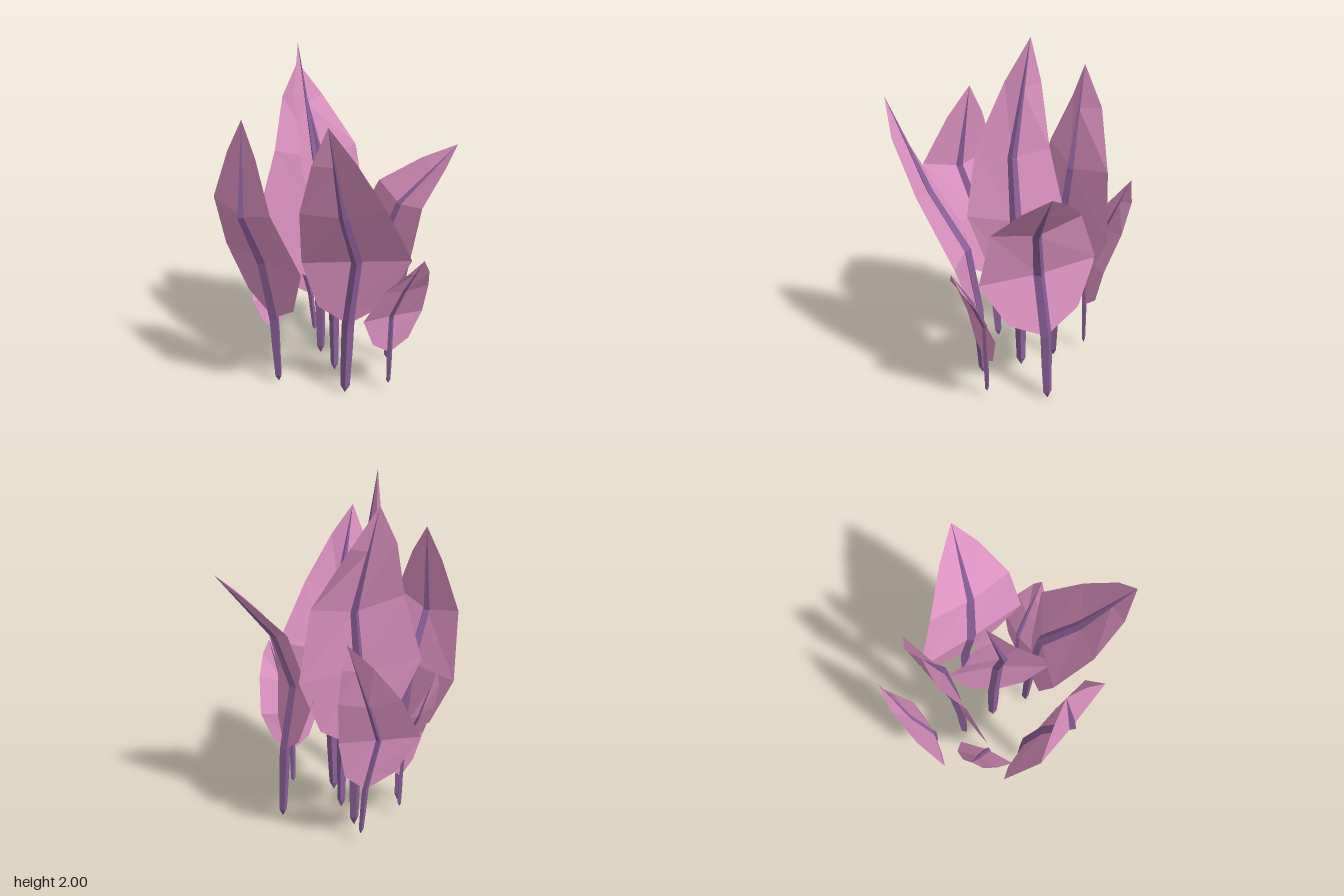
import * as THREE from 'three';

const leafMat = new THREE.MeshStandardMaterial({ color: 0xdc92c2, flatShading: true, side: THREE.DoubleSide });
const stemMat = new THREE.MeshStandardMaterial({ color: 0x8a5f98, flatShading: true, side: THREE.DoubleSide });
const UP = new THREE.Vector3(0, 1, 0);

// Join rows of equal length into a faceted surface, skipping collapsed triangles.
function loft(rows, closed) {
  const pos = [];
  const put = (a, b, c) => {
    if (new THREE.Triangle(a, b, c).getArea() > 1e-8) {
      for (const p of [a, b, c]) pos.push(p.x, p.y, p.z);
    }
  };
  for (let i = 0; i < rows.length - 1; i++) {
    const a = rows[i], b = rows[i + 1], n = a.length;
    for (let j = 0; j < (closed ? n : n - 1); j++) {
      const k = (j + 1) % n;
      put(a[j], a[k], b[k]);
      put(a[j], b[k], b[j]);
    }
  }
  const g = new THREE.BufferGeometry();
  g.setAttribute('position', new THREE.Float32BufferAttribute(pos, 3));
  g.computeVertexNormals();
  return g;
}

// foot, wide and shoulder are [x, z] along the midrib, tip is [x, y, z], side is
// the half-width vector; length sets the row heights, cup folds the edges outward.
function makeLeaf(name, foot2, wide2, shoulder2, tip3, side3, { length = tip3[1], cup = 1 } = {}) {
  const at = ([x, z], y) => new THREE.Vector3(x, y, z);
  const mix = (a, b, t) => a.clone().lerp(b, t);
  const tall = tip3[1] > 1.3;
  const radius = tall ? 0.036 : 0.018;
  const foot = at(foot2, tall ? 0.005 : 0.06);
  const wide = at(wide2, length * 0.51);
  const base = mix(foot, wide, 0.25).setY(length * 0.27);
  const shoulder = at(shoulder2, length * 0.695);
  const tip = new THREE.Vector3(...tip3);
  const half = new THREE.Vector3(...side3);
  const size = half.length();
  const outward = new THREE.Vector3().crossVectors(half, UP).multiplyScalar(cup);

  // Blade: left edge, midrib and right edge on each row
  const widths = [0, 0.61, 1, 0.74, 0.36, 0];
  const lifts = [0, 0.03, 0.05, 0.17, 0.1, 0];
  const folds = [0, 0.05, 0.12, 0.14, 0.16, 0];
  const spine = [base, mix(base, wide, 0.3), wide, shoulder, mix(shoulder, tip, 0.58), tip];
  const blade = spine.map((p, i) => [-1, 0, 1].map(s => {
    const q = p.clone().addScaledVector(half, s * widths[i]);
    q.addScaledVector(outward, Math.abs(s) * folds[i]);
    q.y += Math.abs(s) * lifts[i] * size;
    return q;
  }));

  // Stem and rib: a four-sided bar pointed at both ends
  const path = [foot, mix(foot, base, 0.1), mix(foot, base, 0.6), base, wide, shoulder, tip];
  const thickness = [0, 0.75, 0.95, 1, 0.95, 0.75, 0];
  const across = half.clone().normalize();
  const bar = path.map((p, i) => {
    const along = path[Math.min(i + 1, 6)].clone().sub(path[Math.max(i - 1, 0)]);
    const out = new THREE.Vector3().crossVectors(across, along).normalize();
    return [0, 1, 2, 3].map(k => p.clone()
      .addScaledVector(across, Math.cos(k * Math.PI / 2) * radius * thickness[i])
      .addScaledVector(out, Math.sin(k * Math.PI / 2) * radius * 0.85 * thickness[i]));
  });

  const leaf = new THREE.Group();
  leaf.name = name;
  const bladeMesh = new THREE.Mesh(loft(blade, false), leafMat);
  bladeMesh.name = 'blade';
  const stemMesh = new THREE.Mesh(loft(bar, true), stemMat);
  stemMesh.name = 'stem';
  leaf.add(bladeMesh, stemMesh);
  return leaf;
}

export function createModel() {
  const plant = new THREE.Group();
  plant.name = 'leafCluster';
  // Five tall leaves
  plant.add(makeLeaf('frontLeaf', [-0.155, 0.295], [-0.12, 0.42], [-0.095, 0.56], [-0.14, 1.66, 0.5], [0.37, 0.03, 0.02], { cup: 0 }));
  plant.add(makeLeaf('leftFrontLeaf', [0.2, 0.08], [0.3, 0.09], [0.39, 0.27], [0.5, 1.74, 0.47], [0.22, 0.02, -0.2]));
  plant.add(makeLeaf('centreLeaf', [-0.02, -0.035], [-0.01, 0], [-0.06, 0.075], [-0.2, 2, 0.07], [0.19, 0, 0.21], { length: 1.93 }));
  plant.add(makeLeaf('backLeaf', [0.11, -0.37], [0.1, -0.28], [0.19, -0.345], [0.38, 1.43, -0.61], [0.345, 0, 0.12], { length: 1.56, cup: 0 }));
  plant.add(makeLeaf('rightBackLeaf', [-0.235, -0.11], [-0.28, -0.12], [-0.29, -0.16], [-0.44, 1.84, -0.12], [-0.085, 0.02, 0.355]));
  // Three small outer leaves
  plant.add(makeLeaf('smallRightLeaf', [-0.305, 0.175], [-0.34, 0.17], [-0.44, 0.18], [-0.54, 0.95, 0.215], [0.04, 0, 0.167]));
  plant.add(makeLeaf('smallBackLeaf', [-0.415, -0.21], [-0.475, -0.14], [-0.52, -0.25], [-0.54, 1.2, -0.41], [-0.1, 0, 0.2]));
  plant.add(makeLeaf('smallLeftLeaf', [0.36, -0.12], [0.37, -0.12], [0.46, -0.12], [0.6, 0.93, -0.12], [0.06, 0, -0.175], { length: 1 }));
  return plant;
}
